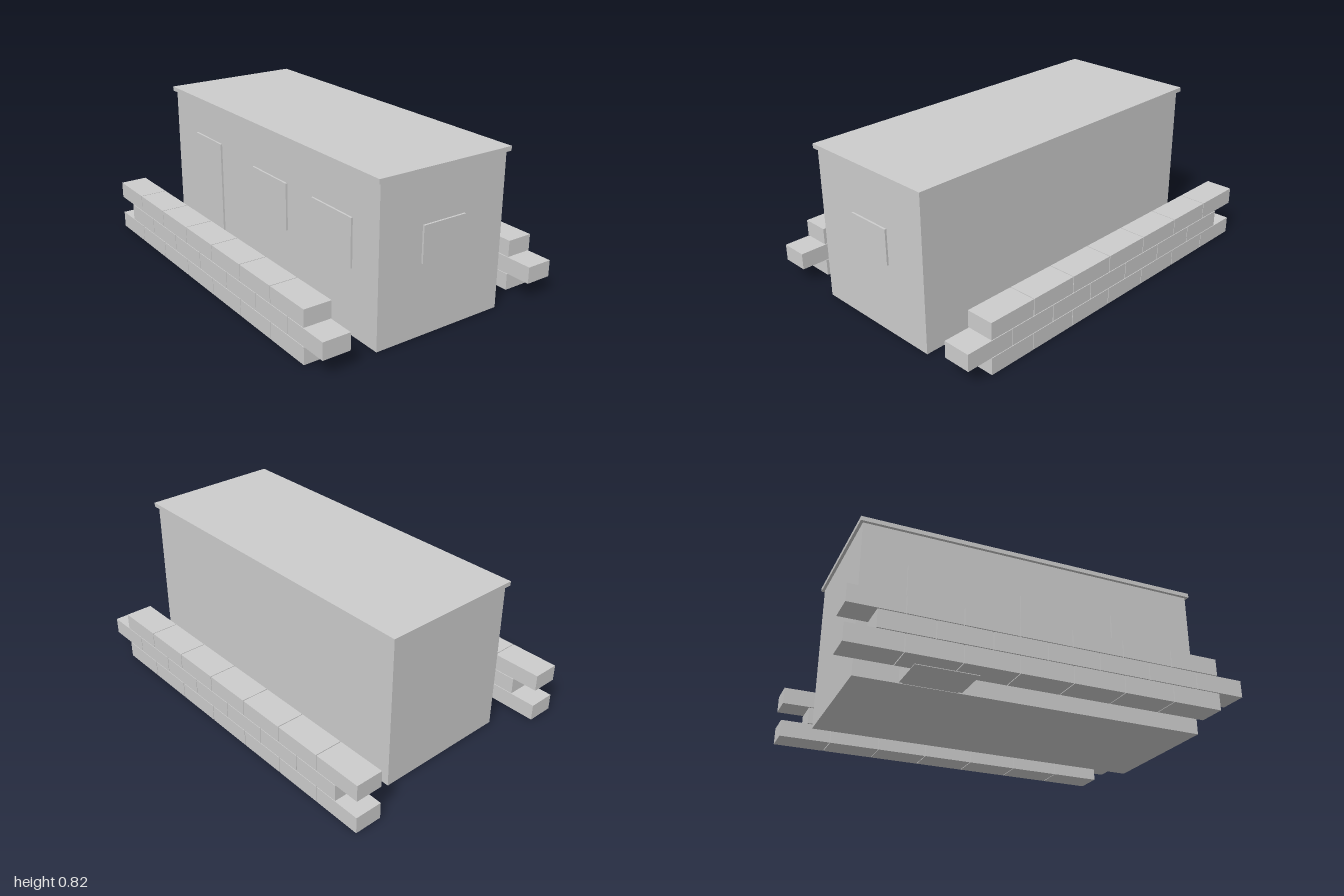
import * as THREE from 'three';

const grey = new THREE.MeshStandardMaterial({ color: 0xcccccc });
grey.name = 'plain grey';

// Box given by its lower and upper limits on each axis
function block(name, [x0, x1], [y0, y1], [z0, z1]) {
  const mesh = new THREE.Mesh(new THREE.BoxGeometry(x1 - x0, y1 - y0, z1 - z0), grey);
  mesh.position.set((x0 + x1) / 2, (y0 + y1) / 2, (z0 + z1) / 2);
  mesh.name = name;
  return mesh;
}

// Three staggered courses of seven separate blocks
function blockWall(name, zRange) {
  const wall = new THREE.Group();
  wall.name = name;
  const pitch = 0.266, length = 0.26, rise = 0.0905;
  for (let row = 0; row < 3; row++) {
    const start = row === 1 ? -0.862 : -1;
    const y = 0.003 + row * rise;
    for (let i = 0; i < 7; i++) {
      const x = start + i * pitch;
      wall.add(block('wallBlock', [x, x + length + 0.002], [y, y + 0.087], zRange));
    }
  }
  return wall;
}

export function createModel() {
  const model = new THREE.Group();
  model.name = 'cabinWithBlockWalls';

  // Cabin and overhanging flat roof
  model.add(block('cabin', [-0.872, 0.953], [0.002, 0.795], [-0.363, 0.363]));
  model.add(block('roof', [-0.887, 0.967], [0.795, 0.818], [-0.38, 0.38]));

  // Door and windows, slightly proud of the walls
  model.add(block('door', [-0.64, -0.373], [0.004, 0.61], [0.36, 0.373]));
  for (const x of [-0.05, 0.466]) {
    model.add(block('frontWindow', [x, x + 0.304], [0.338, 0.58], [0.36, 0.373]));
  }
  model.add(block('sideWindow', [0.95, 0.963], [0.367, 0.55], [-0.122, 0.122]));

  // Doorstep running under the front wall
  model.add(block('doorstep', [-0.66, -0.357], [0, 0.06], [0.38, 0.592]));

  // Low walls in front and behind
  model.add(blockWall('frontWall', [0.537, 0.682]));
  model.add(blockWall('backWall', [-0.682, -0.537]));

  return model;
}
